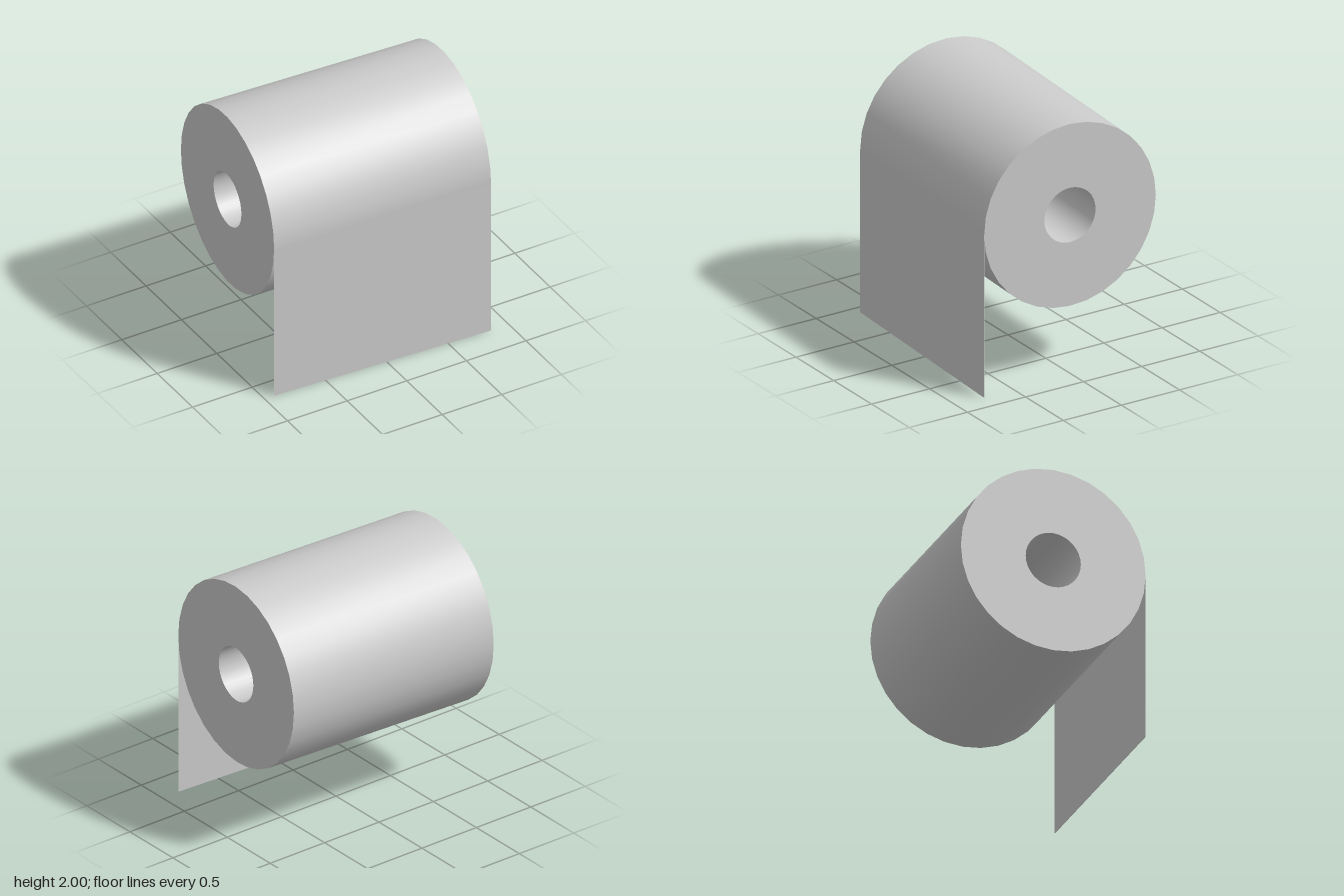
import * as THREE from 'three';
import { toCreasedNormals } from 'three/addons/utils/BufferGeometryUtils.js';

const LENGTH = 1.772, RADIUS = 0.717, HOLE = 0.214, AXIS_Y = 1.283, SHEET = 0.003;

export function createModel() {
  const material = new THREE.MeshStandardMaterial({ color: 0xcccccc });
  const model = new THREE.Group();
  model.name = 'paperRoll';

  // Hollow roll: closed ring profile turned about its axis, then laid along x
  const h = LENGTH / 2;
  const profile = [[RADIUS, -h], [RADIUS, h], [HOLE, h], [HOLE, -h], [RADIUS, -h]]
    .map(([r, y]) => new THREE.Vector2(r, y));
  const rollGeometry = toCreasedNormals(new THREE.LatheGeometry(profile, 32), 0.6);
  rollGeometry.rotateZ(-Math.PI / 2);
  const roll = new THREE.Mesh(rollGeometry, material);
  roll.name = 'roll';
  roll.position.y = AXIS_Y;

  // Loose sheet hanging straight down from the front of the roll
  const sheet = new THREE.Mesh(new THREE.BoxGeometry(LENGTH, AXIS_Y, SHEET), material);
  sheet.name = 'hangingSheet';
  sheet.position.set(0, AXIS_Y / 2, RADIUS - SHEET / 2);

  // The whole roll is turned slightly about the vertical
  const turned = new THREE.Group();
  turned.name = 'turnedRoll';
  turned.add(roll, sheet);
  turned.rotation.y = -0.048;
  model.add(turned);
  return model;
}
